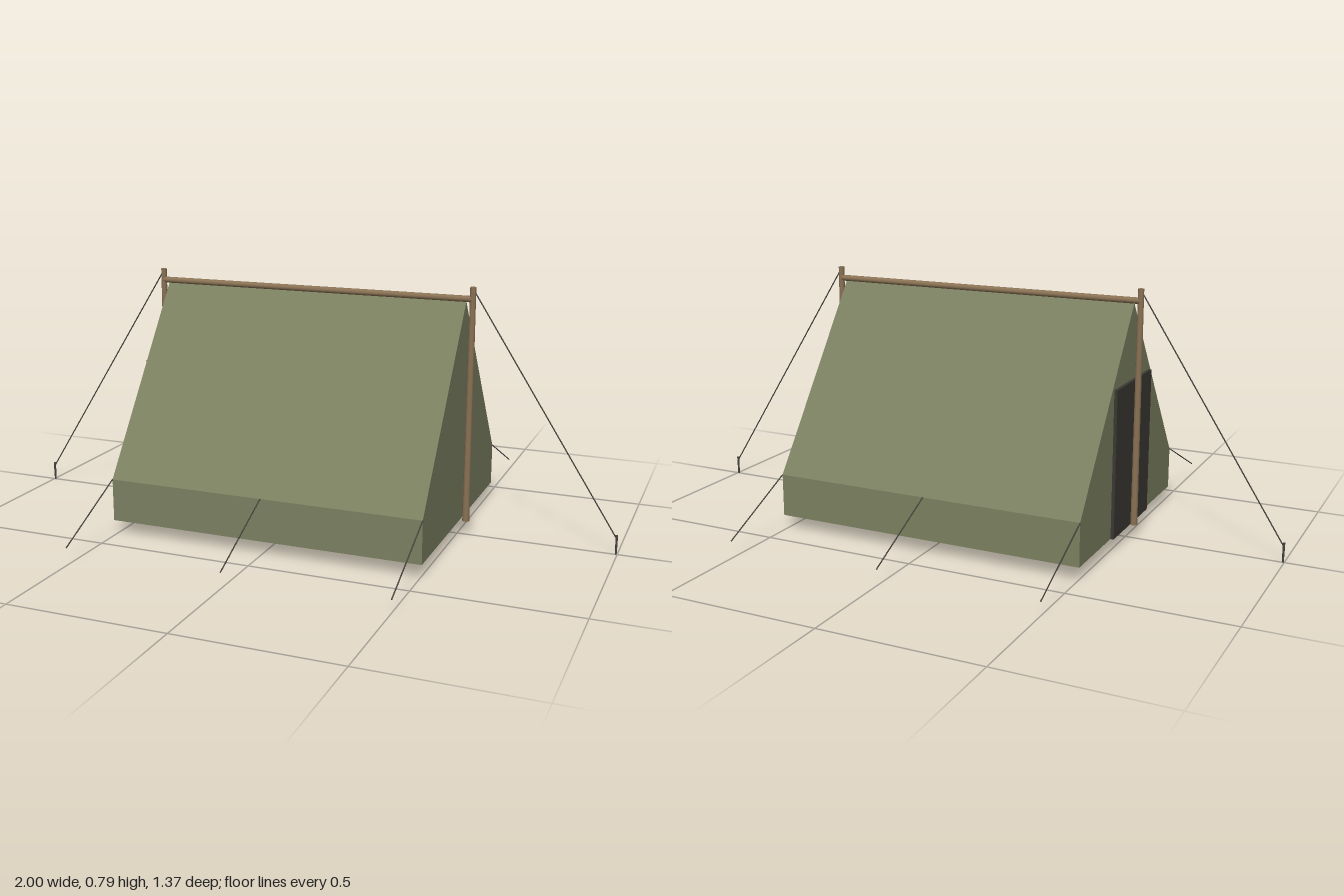
import * as THREE from 'three';

const HALF = 0.507, DEPTH = 0.41, BASE = 0.045, EAVE = 0.18, RIDGE = 0.745;

const canvas = new THREE.MeshStandardMaterial({ color: 0x7b8060, side: THREE.DoubleSide, flatShading: true });
const wood = new THREE.MeshStandardMaterial({ color: 0x8b7355 });
const dark = new THREE.MeshStandardMaterial({ color: 0x3a3833 });
const cord = new THREE.MeshStandardMaterial({ color: 0x4a4640 });

function addMesh(group, name, geometry, material) {
  const mesh = new THREE.Mesh(geometry, material);
  mesh.name = name;
  group.add(mesh);
  return mesh;
}

// Round bar between two points
function addBar(group, name, from, to, r0, r1, sides, material) {
  const a = new THREE.Vector3(...from), b = new THREE.Vector3(...to);
  const dir = b.clone().sub(a);
  const mesh = addMesh(group, name, new THREE.CylinderGeometry(r1, r0, dir.length(), sides), material);
  mesh.position.copy(a).add(b).multiplyScalar(0.5);
  mesh.quaternion.setFromUnitVectors(new THREE.Vector3(0, 1, 0), dir.normalize());
  return mesh;
}

// Rectangular cloth panel along x, between two (z, y) profile points
function panelGeometry([z0, y0], [z1, y1]) {
  const geo = new THREE.BufferGeometry();
  geo.setAttribute('position', new THREE.Float32BufferAttribute([
    -HALF, y0, z0, HALF, y0, z0, HALF, y1, z1, -HALF, y1, z1], 3));
  geo.setIndex([0, 1, 2, 0, 2, 3]);
  geo.computeVertexNormals();
  return geo;
}

export function createModel() {
  const tent = new THREE.Group();
  tent.name = 'ridgeTent';

  // Canvas: low side walls and sloping roof, open underneath
  const profile = [[DEPTH, BASE], [DEPTH, EAVE], [0, RIDGE], [-DEPTH, EAVE], [-DEPTH, BASE]];
  const names = ['frontWall', 'frontRoof', 'backRoof', 'backWall'];
  names.forEach((name, i) => addMesh(tent, name, panelGeometry(profile[i], profile[i + 1]), canvas));

  // Gable ends
  const gable = new THREE.ShapeGeometry(new THREE.Shape(profile.map(([z, y]) => new THREE.Vector2(z, y))));
  for (const s of [-1, 1]) {
    const end = addMesh(tent, s > 0 ? 'leftGable' : 'rightGable', gable, canvas);
    end.rotation.y = s * Math.PI / 2;
    end.position.x = s * HALF;
  }

  // Door flap on one gable
  addMesh(tent, 'door', new THREE.BoxGeometry(0.01, 0.465, 0.31), dark)
    .position.set(-HALF - 0.005, BASE + 0.2325, 0);

  // Poles
  addBar(tent, 'ridgePole', [-0.53, 0.753, 0], [0.53, 0.753, 0], 0.01, 0.01, 8, wood);
  for (const s of [-1, 1]) {
    addBar(tent, 'uprightPole', [s * 0.527, BASE, 0], [s * 0.527, 0.79, 0], 0.0115, 0.0095, 8, wood);
    // End guy lines with their pegs
    addBar(tent, 'endGuyLine', [s * 0.53, 0.78, 0], [s * 0.996, 0.05, 0], 0.002, 0.002, 6, cord);
    addBar(tent, 'peg', [s * 0.996, 0, 0], [s * 0.996, 0.062, 0], 0.003, 0.004, 6, cord);
    // Side guy lines from the eaves
    for (const x of [-HALF, 0, HALF])
      addBar(tent, 'sideGuyLine', [x, EAVE, s * DEPTH], [x, 0.05, s * 0.685], 0.002, 0.002, 6, cord);
  }
  return tent;
}
